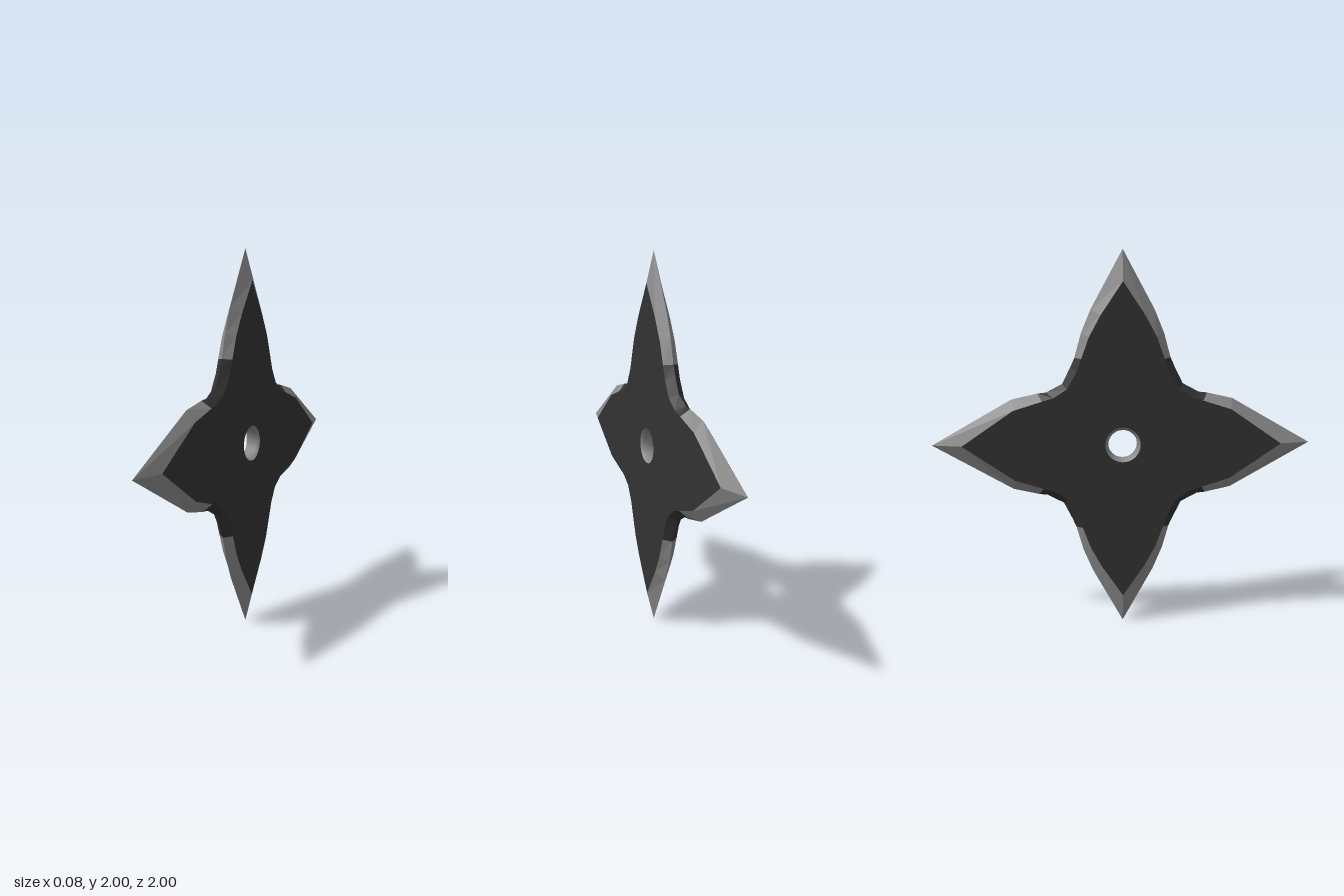
import * as THREE from 'three';

const HALF = 0.04;      // half thickness
const RIM = 0.093;      // hole radius at the faces
const BORE = 0.077;     // hole radius inside

// One quarter, from side tip to top tip: sharp outer edge (x, y), flat face edge (x, y)
const QUARTER = [
  [1, 0, 0.84, 0],
  [0.58, 0.24, 0.57, 0.185],
  [0.445, 0.27, 0.42, 0.232],
  [0.4, 0.275, 0.36, 0.25],
  [0.315, 0.32, 0.29, 0.295],
  [0.27, 0.41, 0.24, 0.38],
  [0.25, 0.455, 0.215, 0.45],
  [0.215, 0.58, 0.175, 0.56],
  [0.165, 0.7, 0.115, 0.67],
  [0, 1, 0, 0.84],
];
const VALLEY = [2, 6];  // profile points bounding the dark notch

// Mirror the quarter into a full counter-clockwise outline
function fullOutline() {
  const loop = [];
  const last = QUARTER.length - 1;
  [[1, 1], [-1, 1], [-1, -1], [1, -1]].forEach(([sx, sy], q) => {
    for (let k = 0; k < last; k++) {
      const i = q % 2 ? last - k : k;
      const [ox, oy, ix, iy] = QUARTER[i];
      loop.push({ i, outer: [ox * sx, oy * sy, 0], inner: [ix * sx, iy * sy, HALF] });
    }
  });
  return loop;
}

// Sloped strips between face edge and sharp edge, for notch or blade segments
function bevelGeometry(loop, wantValley) {
  const pos = [];
  const inValley = (p) => p.i >= VALLEY[0] && p.i <= VALLEY[1];
  loop.forEach((a, n) => {
    const b = loop[(n + 1) % loop.length];
    if ((inValley(a) && inValley(b)) !== wantValley) return;
    pos.push(...a.inner, ...a.outer, ...b.outer, ...a.inner, ...b.outer, ...b.inner);
  });
  const g = new THREE.BufferGeometry();
  g.setAttribute('position', new THREE.Float32BufferAttribute(pos, 3));
  g.computeVertexNormals();
  return g;
}

export function createModel() {
  const steel = new THREE.MeshStandardMaterial({ color: 0x8a8a8a });
  steel.name = 'sharpened steel';
  const black = new THREE.MeshStandardMaterial({ color: 0x323232 });
  black.name = 'blackened steel';

  const model = new THREE.Group();
  model.name = 'throwingStar';
  const add = (parent, name, geometry, material) => {
    const mesh = new THREE.Mesh(geometry, material);
    mesh.name = name;
    parent.add(mesh);
  };

  // Flat face with the centre hole
  const loop = fullOutline();
  const shape = new THREE.Shape(loop.map((p) => new THREE.Vector2(p.inner[0], p.inner[1])));
  const hole = new THREE.Path();
  hole.absarc(0, 0, RIM, 0, Math.PI * 2, true);
  shape.holes.push(hole);
  const face = new THREE.ShapeGeometry(shape, 16).translate(0, 0, HALF);
  const blades = bevelGeometry(loop, false);
  const notches = bevelGeometry(loop, true);

  // Two identical halves, facing +x and -x
  for (const side of [1, -1]) {
    const half = new THREE.Group();
    half.name = side > 0 ? 'leftHalf' : 'rightHalf';
    half.rotation.y = side * Math.PI / 2;
    add(half, 'face', face, black);
    add(half, 'bladeBevels', blades, steel);
    add(half, 'notchBevels', notches, black);
    model.add(half);
  }

  // Chamfered wall of the hole, facing inward
  const wall = [[RIM, HALF], [BORE, 0.022], [BORE, -0.022], [RIM, -HALF]];
  const bore = new THREE.LatheGeometry(wall.map(([r, y]) => new THREE.Vector2(r, y)), 32);
  bore.rotateZ(Math.PI / 2);
  add(model, 'holeWall', bore, steel);

  model.position.y = 1;
  const root = new THREE.Group();
  root.name = 'model';
  root.add(model);
  return root;
}
